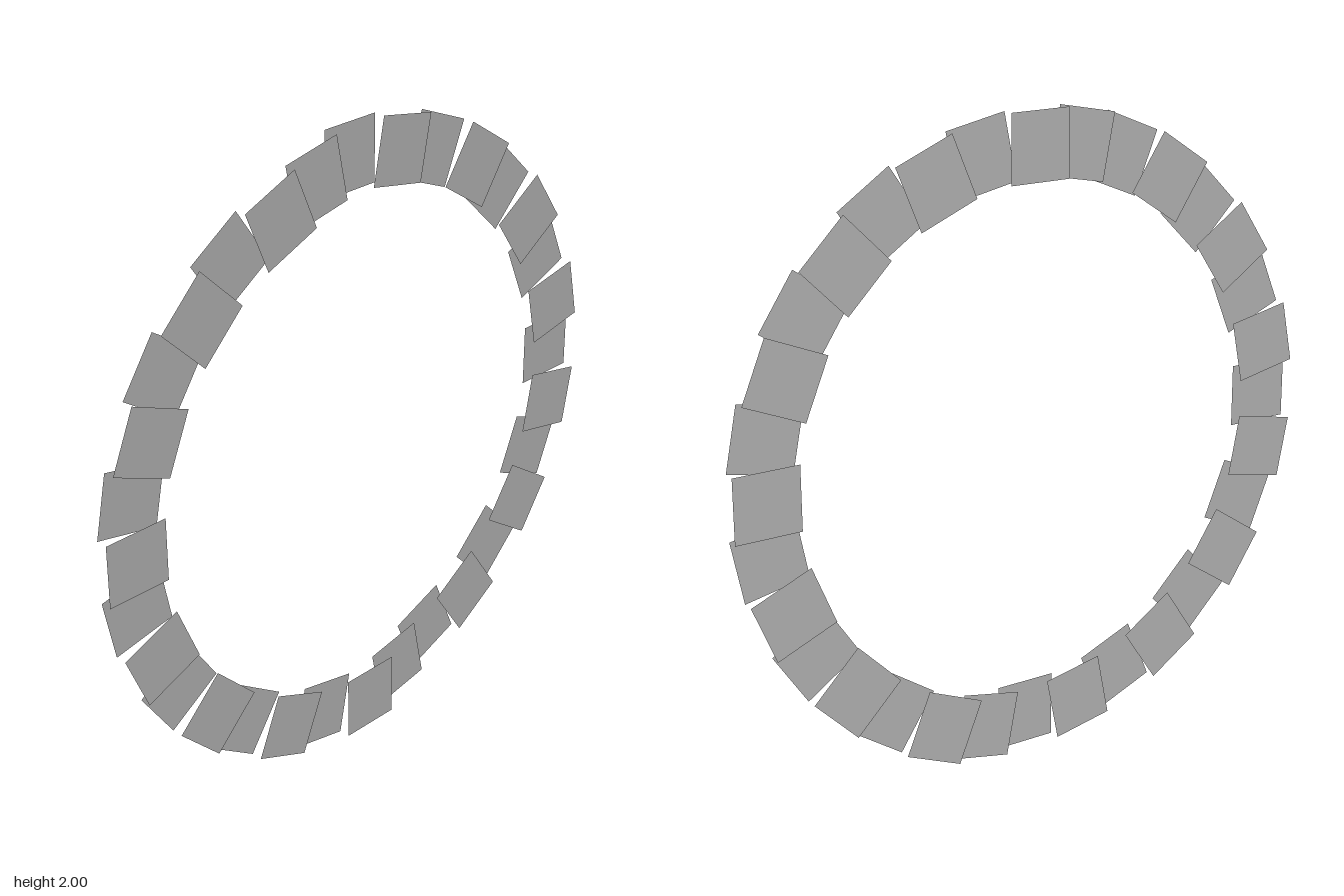
import * as THREE from 'three';

const COUNT = 32;
const HEIGHT = 0.207;

export function createModel() {
  const ring = new THREE.Group();
  ring.name = 'tileRing';

  const material = new THREE.MeshStandardMaterial({
    color: 0xcccccc, side: THREE.DoubleSide, flatShading: true,
  });

  // One flat tile; neighbours meet at their outer corners
  const width = 2 * Math.tan(Math.PI / COUNT);
  const radius = 1 - HEIGHT / 2;
  const tile = new THREE.PlaneGeometry(width, HEIGHT);

  // Clockwise from the top: every second tile is set well off the middle plane,
  // backward on the +x half and forward on the -x half
  for (let i = 0; i < COUNT; i++) {
    const angle = (i / COUNT) * Math.PI * 2;
    const side = i < COUNT / 2 ? -1 : 1;
    const offset = i % 2 === 0 ? 0.042 : 0.006;
    const mesh = new THREE.Mesh(tile, material);
    mesh.name = `tile${i + 1}`;
    mesh.position.set(radius * Math.sin(angle), 1 + radius * Math.cos(angle), side * offset);
    mesh.rotation.z = -angle;
    ring.add(mesh);
  }

  return ring;
}
